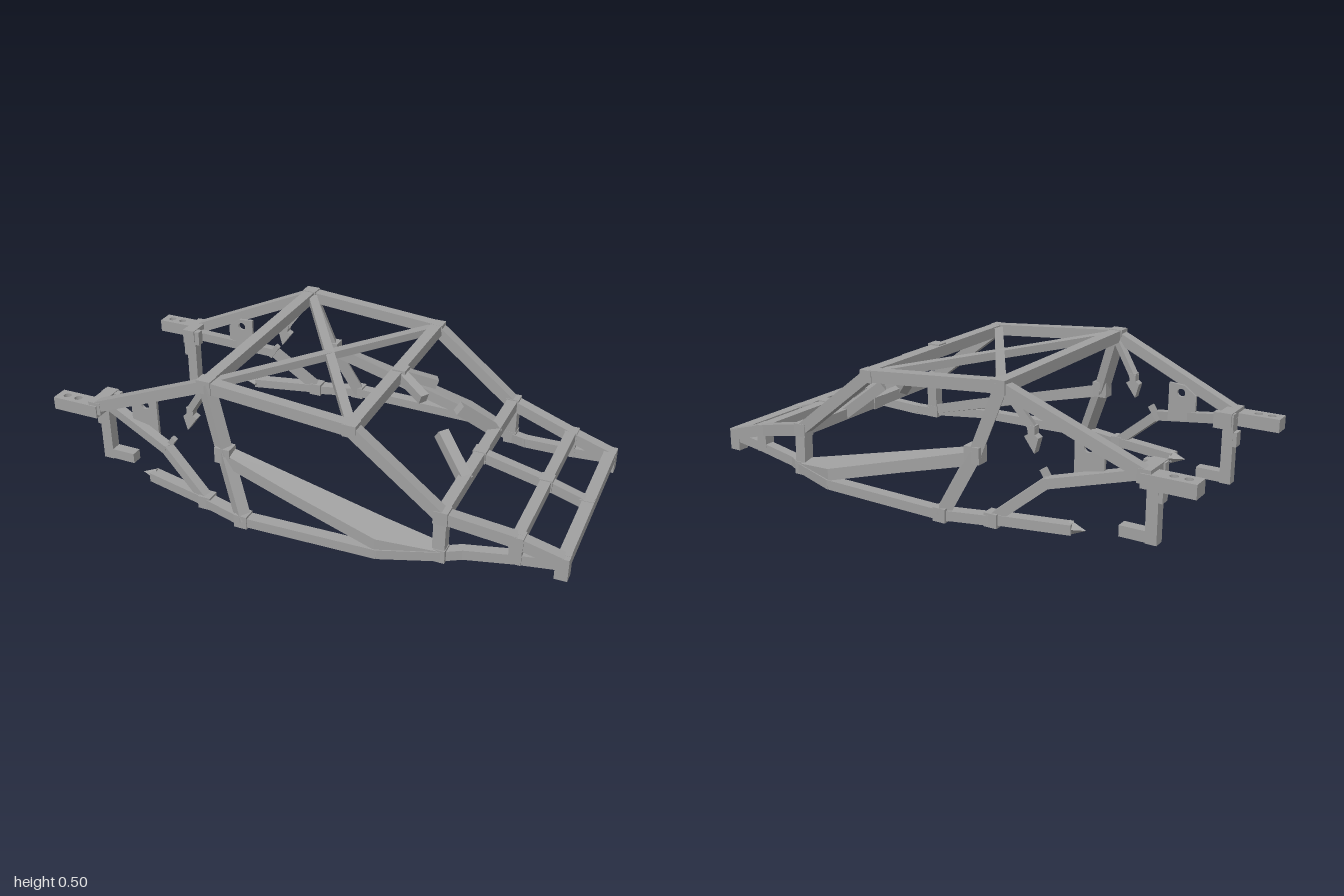
import * as THREE from 'three';

const steel = new THREE.MeshStandardMaterial({ color: 0xa0a0a0, flatShading: true });
steel.name = 'bare steel';

const T = 0.044; // tube width

export function createModel() {
  const root = new THREE.Group();
  root.name = 'spaceFrame';

  const add = (parent, name, geometry) => {
    const mesh = new THREE.Mesh(geometry, steel);
    mesh.name = name;
    parent.add(mesh);
    return mesh;
  };
  // Square tube between two points
  const beam = (parent, name, a, b, w = T, h = w, extra = 0) => {
    const p = new THREE.Vector3(...a), q = new THREE.Vector3(...b);
    const mesh = add(parent, name, new THREE.BoxGeometry(w, h, p.distanceTo(q) + extra));
    mesh.position.copy(p).add(q).multiplyScalar(0.5);
    mesh.lookAt(q);
    return mesh;
  };
  const box = (parent, name, size, pos) =>
    add(parent, name, new THREE.BoxGeometry(...size)).position.set(...pos);
  // Plate with round holes, outline in its own plane
  const plate = (parent, name, points, holes, r, depth) => {
    const shape = new THREE.Shape(points.map(p => new THREE.Vector2(...p)));
    for (const [x, y] of holes) shape.holes.push(new THREE.Path().absarc(x, y, r, 0, Math.PI * 2, true));
    return add(parent, name, new THREE.ExtrudeGeometry(shape, { depth, bevelEnabled: false, curveSegments: 10 }));
  };
  // Skin through four-cornered sections
  const loft = (parent, name, sections, flip) => {
    const pos = sections.flat(2), index = [];
    const quad = (a, b, c, d) => index.push(...(flip ? [a, c, b, a, d, c] : [a, b, c, a, c, d]));
    for (let i = 0; i < sections.length - 1; i++)
      for (let j = 0; j < 4; j++) {
        const k = (j + 1) % 4, o = i * 4;
        quad(o + j, o + 4 + j, o + 4 + k, o + k);
      }
    const e = (sections.length - 1) * 4;
    quad(0, 1, 2, 3);
    quad(e + 3, e + 2, e + 1, e);
    const g = new THREE.BufferGeometry();
    g.setAttribute('position', new THREE.Float32BufferAttribute(pos, 3));
    g.setIndex(index);
    const flat = g.toNonIndexed();
    flat.computeVertexNormals();
    add(parent, name, flat);
  };

  for (const s of [1, -1]) {
    const side = new THREE.Group();
    side.name = s > 0 ? 'leftSide' : 'rightSide';
    root.add(side);
    const m = ([x, y, z]) => [x, y, z * s];
    const run = (name, pts, w, h) => {
      for (let i = 0; i < pts.length - 1; i++) beam(side, name, m(pts[i]), m(pts[i + 1]), w, h, 0.012);
    };
    const roofRear = [-0.31, 0.48, 0.43], roofFront = [0.24, 0.435, 0.43];
    const cowl = [0.57, 0.175, 0.425], hoopMid = [-0.23, 0.24, 0.465], hoopFoot = [-0.135, 0.025, 0.525];
    const noseMid = [0.82, 0.115, 0.375], noseTip = [0.975, 0.07, 0.365];

    // Roof, windscreen pillar and nose rails
    run('upperRail', [roofRear, roofFront, cowl, noseMid, noseTip]);
    run('mainHoopLeg', [roofRear, hoopMid, hoopFoot]);
    run('cowlPost', [cowl, [0.57, 0.01, 0.43]], 0.045);
    run('sill', [[-0.31, 0.025, 0.475], hoopFoot, [0.37, 0.025, 0.51], [0.57, 0.025, 0.435]], T, 0.036);
    run('lowerNoseRail', [[0.57, 0.02, 0.43], [0.64, 0.028, 0.4], [0.82, 0.045, 0.375], [0.97, 0.06, 0.365]], 0.038);
    run('nosePost', [[0.82, 0.035, 0.375], [0.82, 0.13, 0.375]], 0.045);
    run('frontPost', [[0.977, 0.011, 0.365], [0.977, 0.085, 0.365]], 0.046, 0.046);

    // Joint blocks at the nodes
    for (const [p, w, h] of [[roofRear, 0.055, 0.05], [roofFront, 0.05, 0.045], [cowl, 0.052, 0.05],
      [noseMid, 0.05, 0.045], [hoopMid, 0.06, 0.06], [hoopFoot, 0.05, 0.05], [[-0.31, 0.027, 0.475], 0.05, 0.05],
      [[0.57, 0.026, 0.43], 0.05, 0.05]])
      box(side, 'jointBlock', [w, h, 0.05], m(p));

    // Door bar, widening as it bows outward over the sill
    const section = (x, yi, yo, zi, zo, t) =>
      [[x, yi, zi], [x, yi - t, zi], [x, yo - t, zo], [x, yo, zo]].map(m);
    loft(side, 'doorBar', [
      section(-0.24, 0.265, 0.255, 0.445, 0.485, 0.05),
      section(0.05, 0.19, 0.175, 0.435, 0.512, 0.045),
      section(0.37, 0.108, 0.085, 0.425, 0.528, 0.045),
      section(0.57, 0.055, 0.045, 0.41, 0.455, 0.04)], s < 0);

    // Rear bracing
    run('rearStay', [roofRear, [-0.82, 0.26, 0.385]], 0.042);
    run('rearLowerStay', [[-0.82, 0.25, 0.33], [-0.49, 0.18, 0.435], [-0.31, 0.03, 0.475]], 0.036);
    run('rearFloorTube', [[-0.31, 0.03, 0.475], [-0.57, 0.03, 0.415]], 0.044, 0.036);
    const end = add(side, 'floorTubeEnd', new THREE.ConeGeometry(0.027, 0.06, 4));
    end.position.set(-0.595, 0.03, 0.409 * s);
    end.rotation.z = Math.PI / 2;
    box(side, 'rearJoint', [0.05, 0.05, 0.13], [-0.82, 0.258, 0.345 * s]);
    run('rearInnerBar', [[-0.845, 0.25, 0.3], [-0.78, 0.25, 0.3]], 0.03, 0.06);

    // Rear drop post, foot and bump block
    box(side, 'rearDropPost', [0.042, 0.25, 0.042], [-0.825, 0.13, 0.325 * s]);
    box(side, 'rearFoot', [0.135, 0.04, 0.042], [-0.778, 0.028, 0.325 * s]);
    box(side, 'bumpBlock', [0.03, 0.055, 0.04], [-0.845, 0.18, 0.325 * s]);

    // Drilled mounting bar
    const bar = plate(side, 'mountingBar',
      [[-1, -0.033], [-0.81, -0.033], [-0.81, 0.033], [-1, 0.033]], [[-0.96, 0], [-0.91, 0]], 0.015, 0.05);
    bar.rotation.x = -Math.PI / 2;
    bar.position.set(0, 0.22, 0.382 * s);

    // Damper bracket under the rear stay
    plate(side, 'damperBracket',
      [[-0.67, 0.24], [-0.64, 0.2], [-0.56, 0.19], [-0.56, 0.34], [-0.62, 0.335], [-0.67, 0.3]],
      [[-0.61, 0.305]], 0.016, 0.012).position.z = 0.375 * s - 0.006;
    run('bracketTab', [[-0.47, 0.215, 0.42], [-0.5, 0.17, 0.42]], 0.02);

    // Hooked tab hanging from the hoop
    run('tabArm', [[-0.325, 0.455, 0.41], [-0.405, 0.34, 0.385]], 0.026);
    plate(side, 'tabHook', [[-0.42, 0.35], [-0.39, 0.35], [-0.395, 0.32], [-0.38, 0.31], [-0.42, 0.255], [-0.435, 0.31], [-0.42, 0.32]],
      [], 0, 0.03).position.z = 0.385 * s - 0.015;

    // Steering supports, mirror bracket arms and roof cross
    run('dashSupport', [[0.45, 0.285, 0.1], [0.57, 0.175, 0.185]], 0.042);
    run('mirrorArm', [[0.25, 0.44, 0.005], [0.36, 0.395, 0.065]], 0.036);
    beam(root, 'roofDiagonal', m(roofRear), [0.24, 0.435, -0.43 * s], 0.034, 0.03);
  }

  // Cross members
  for (const [name, x, y, z, w] of [['roofRearBar', -0.31, 0.48, 0.43, 0.044], ['roofFrontBar', 0.24, 0.435, 0.43, 0.044],
    ['cowlBar', 0.57, 0.175, 0.42, 0.042], ['noseBar', 0.82, 0.118, 0.375, 0.04], ['frontBar', 0.977, 0.07, 0.365, 0.044]])
    box(root, name, [w, w, z * 2], [x, y, 0]);

  // Centre spine of the nose
  beam(root, 'noseSpine', [0.57, 0.175, 0], [0.82, 0.118, 0], 0.038);
  beam(root, 'noseSpine', [0.82, 0.118, 0], [0.977, 0.07, 0], 0.038);
  for (const [x, y] of [[0.57, 0.175], [0.82, 0.118], [0.972, 0.07]])
    box(root, 'spineJoint', [0.05, 0.048, 0.05], [x, y, 0]);
  box(root, 'mirrorMount', [0.05, 0.045, 0.05], [0.25, 0.44, 0]);
  return root;
}
